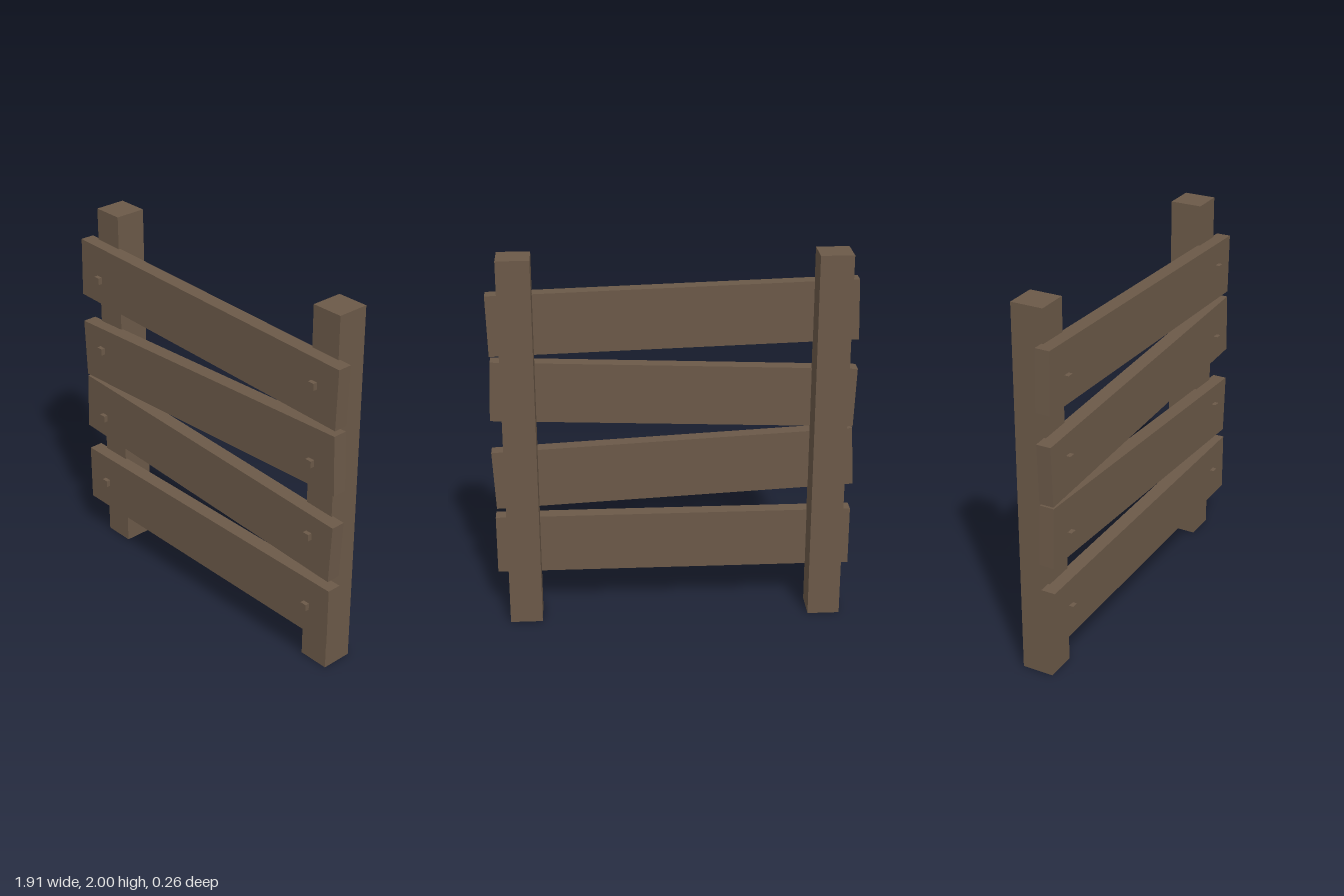
import * as THREE from 'three';

export function createModel() {
  const model = new THREE.Group();
  model.name = 'plankFence';
  const wood = new THREE.MeshStandardMaterial({ color: 0x6b5948 });
  wood.name = 'brown wood';

  const addBox = (name, size, position, tilt = 0) => {
    const mesh = new THREE.Mesh(new THREE.BoxGeometry(...size), wood);
    mesh.name = name;
    mesh.position.set(...position);
    mesh.rotation.z = tilt;
    model.add(mesh);
  };

  // Upright posts
  for (const [side, x] of [['left', 0.8], ['right', -0.8]]) {
    addBox(`${side}Post`, [0.17, 2, 0.17], [x, 1, -0.045]);
  }

  // Crooked planks, from bottom to top: centre height and tilt
  const planks = [[0.383, 0], [0.805, -0.05], [1.222, 0.04], [1.64, -0.029]];
  planks.forEach(([y, tilt], i) => {
    addBox(`plank${i + 1}`, [1.9, 0.322, 0.077], [0, y, 0.0685], tilt);
    // Square nail heads over the posts
    for (const [side, x] of [['left', 0.8], ['right', -0.8]]) {
      addBox(`${side}Nail${i + 1}`, [0.037, 0.037, 0.04], [x, y, 0.11]);
    }
  });

  return model;
}
